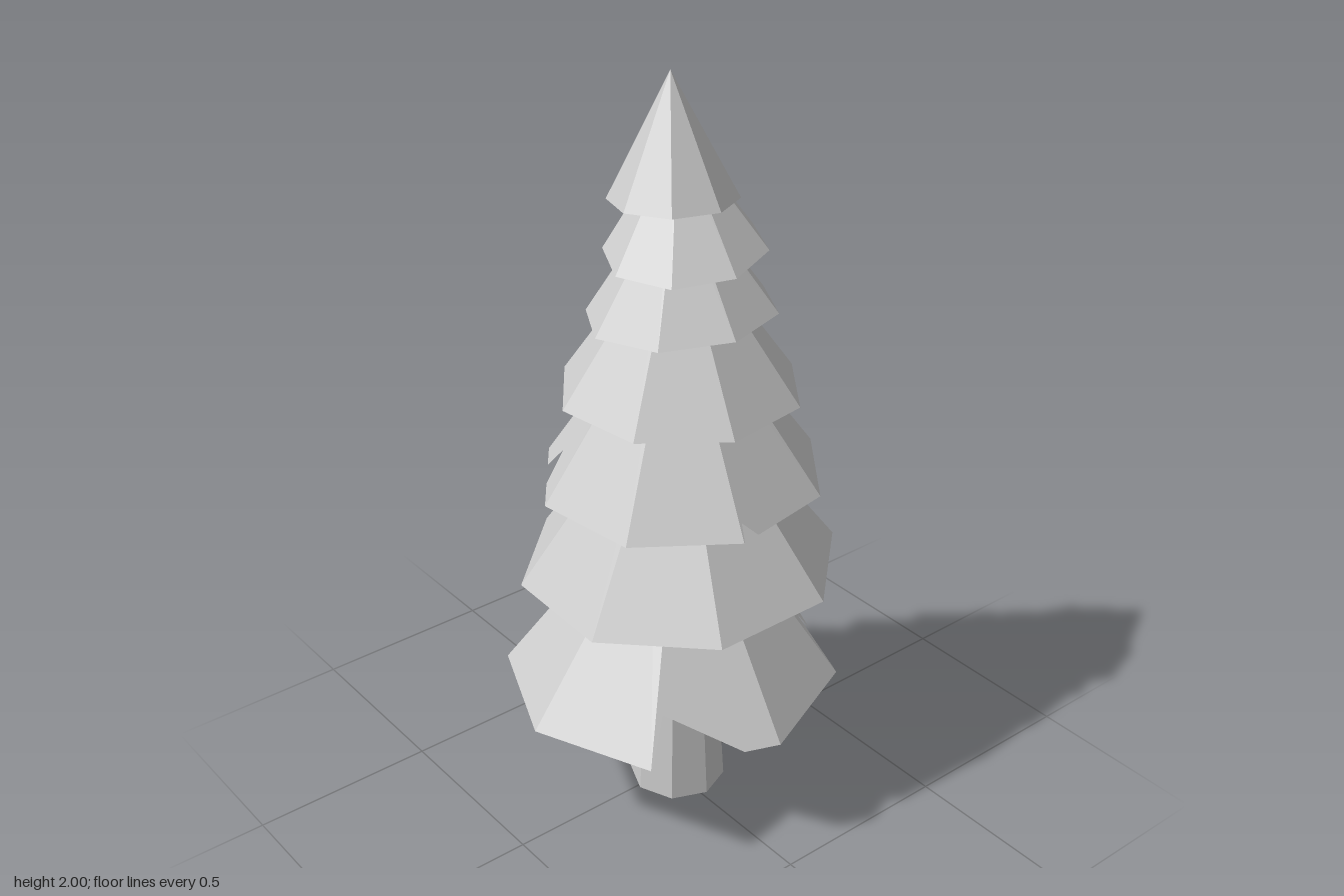
import * as THREE from 'three';

const SIDES = 8;
const TRUNK = { x: 0.015, z: 0.01, r: 0.13, taper: 0.062, height: 1.94 };

// Each tier: rim centre, rim radius, rotation in degrees, tilt along x and z,
// rise, and notches cut in the rim: face index -> [u, v] points (u along the rim, v up the face).
const TIERS = [
  { c: [0, 0.36, 0], r: 0.445, rot: 0, tilt: [0.025, 0], rise: 0.52,
    notches: { 0: [[0.38, 0], [0.51, 0.17], [0.93, 0]], 2: [[0.28, 0], [0.94, 0.21], [0.99, 0]] } },
  { c: [0.03, 0.685, 0], r: 0.42, rot: 24.7, tilt: [0.038, 0.01], rise: 0.51 },
  { c: [0.035, 0.945, 0], r: 0.37, rot: 15, tilt: [0.036, 0], rise: 0.49,
    notches: {
      1: [[0.82, 0], [0.97, 0.08], [0.99, 0]],
      4: [[0.38, 0], [0.53, 0.15], [0.7, 0]],
      7: [[0.73, 0], [0.97, 0.33], [0.99, 0]] } },
  { c: [0.03, 1.19, 0], r: 0.312, rot: 14.5, tilt: [0, 0], rise: 0.41 },
  { c: [0.025, 1.4, 0.01], r: 0.24, rot: 7, tilt: [0.04, 0.075], rise: 0.32 },
  { c: [0.018, 1.573, 0.033], r: 0.2, rot: 3, tilt: [0.1, -0.02], rise: 0.27 },
  { c: [0.002, 1.697, 0.008], r: 0.158, rot: -5, tilt: [-0.03, 0.06], rise: 0.303, tip: [0.006, 2, -0.008] },
];

// Sloping skirt of flat faces, each a quad whose lower edge may be notched
function tierGeometry(t) {
  const topY = t.c[1] + t.rise;
  const topR = t.tip ? 0 : TRUNK.r - TRUNK.taper * topY;
  const top = t.tip ? new THREE.Vector3(...t.tip) : new THREE.Vector3(TRUNK.x, topY, TRUNK.z);
  const rimPoint = (i) => {
    const a = THREE.MathUtils.degToRad(t.rot + (i * 360) / SIDES);
    const dx = Math.cos(a) * t.r, dz = Math.sin(a) * t.r;
    return new THREE.Vector3(t.c[0] + dx, t.c[1] + dx * t.tilt[0] + dz * t.tilt[1], t.c[2] + dz);
  };
  const topPoint = (i) => {
    const a = THREE.MathUtils.degToRad(t.rot + (i * 360) / SIDES);
    return top.clone().add(new THREE.Vector3(Math.cos(a) * topR, 0, Math.sin(a) * topR));
  };
  const positions = [];
  for (let i = 0; i < SIDES; i++) {
    const cut = (t.notches && t.notches[i]) || [];
    const outline = [[0, 0], ...cut, [1, 0], [1, 1], [0, 1]].map((p) => new THREE.Vector2(...p));
    const points = outline.map((p) => {
      const low = rimPoint(i).lerp(rimPoint(i + 1), p.x);
      const high = topPoint(i).lerp(topPoint(i + 1), p.x);
      return low.lerp(high, p.y);
    });
    for (const [a, b, c] of THREE.ShapeUtils.triangulateShape(outline, [])) {
      // reversed so the face looks outward
      for (const k of [a, c, b]) positions.push(...points[k].toArray());
    }
  }
  const g = new THREE.BufferGeometry();
  g.setAttribute('position', new THREE.Float32BufferAttribute(positions, 3));
  g.computeVertexNormals();
  return g;
}

export function createModel() {
  const tree = new THREE.Group();
  tree.name = 'pineTree';
  const grey = new THREE.MeshStandardMaterial({ color: 0xcccccc, flatShading: true, side: THREE.DoubleSide });
  grey.name = 'lightGrey';

  // Tapered trunk running up inside the branches
  const trunkTop = TRUNK.r - TRUNK.taper * TRUNK.height;
  const trunk = new THREE.Mesh(new THREE.CylinderGeometry(trunkTop, TRUNK.r, TRUNK.height, SIDES), grey);
  trunk.name = 'trunk';
  trunk.position.set(TRUNK.x, TRUNK.height / 2, TRUNK.z);
  tree.add(trunk);

  // Branch tiers from bottom to top
  TIERS.forEach((t, i) => {
    const tier = new THREE.Mesh(tierGeometry(t), grey);
    tier.name = t.tip ? 'treeTop' : `branchTier${i + 1}`;
    tree.add(tier);
  });
  return tree;
}
